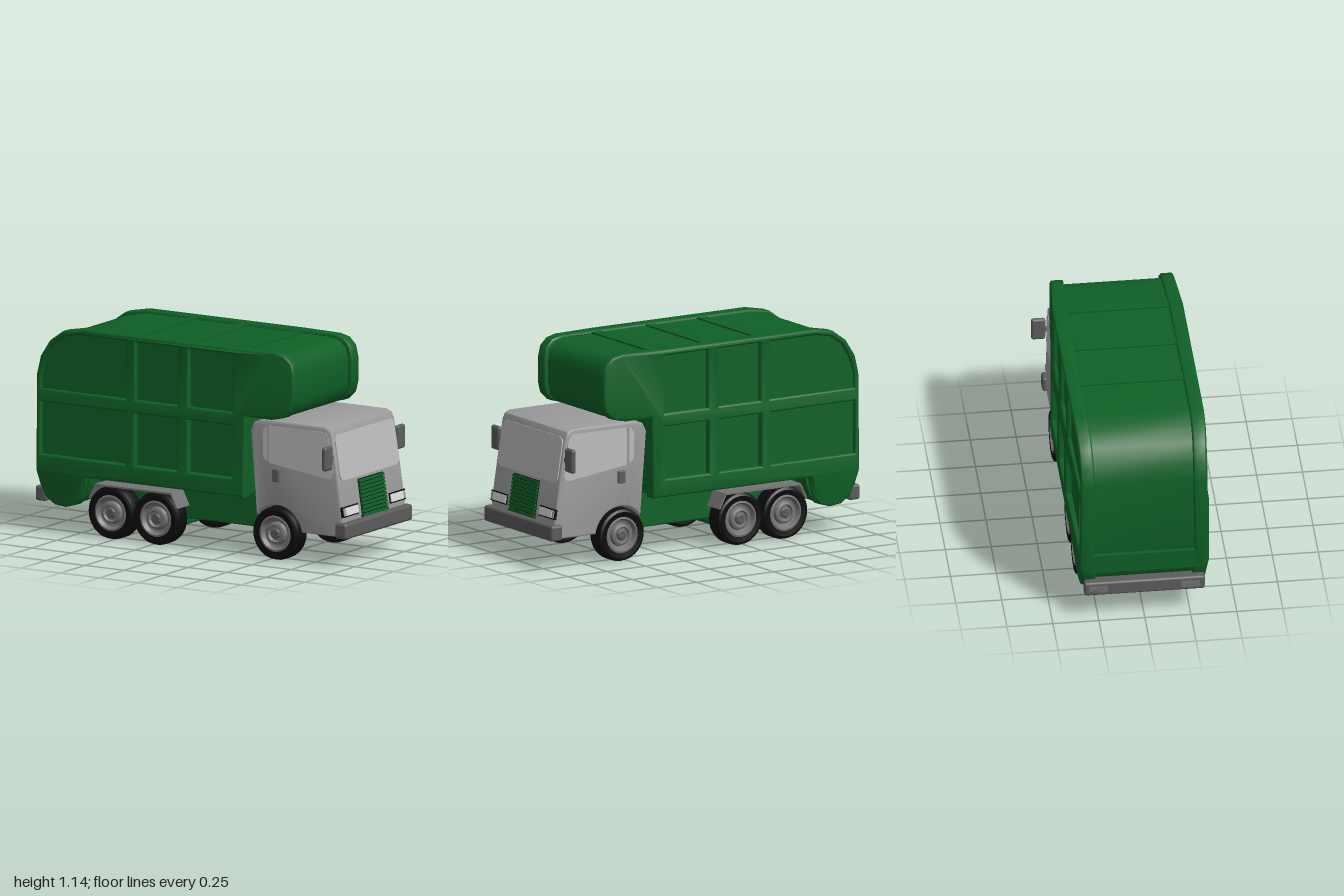
import * as THREE from 'three';
import { toCreasedNormals } from 'three/addons/utils/BufferGeometryUtils.js';
import { RoundedBoxGeometry } from 'three/addons/geometries/RoundedBoxGeometry.js';

const material = (name, color) => {
  const m = new THREE.MeshStandardMaterial({ color });
  m.name = name;
  return m;
};
const green = material('green paint', 0x0f6026);
const grey = material('cab grey', 0x9c9c9c);
const glass = material('window glass', 0xbcbcbc);
const steel = material('dark steel', 0x5c5c5c);
const rimGrey = material('rim grey', 0x747474);
const black = material('tyre black', 0x0c0c0c);
const white = material('lamp white', 0xdcdcdc);

const polygon = (pts) => new THREE.Shape(pts.map(([x, y]) => new THREE.Vector2(x, y)));

function roundedRect(x0, y0, x1, y1, r) {
  const s = new THREE.Shape();
  s.absarc(x1 - r, y0 + r, r, -Math.PI / 2, 0);
  s.absarc(x1 - r, y1 - r, r, 0, Math.PI / 2);
  s.absarc(x0 + r, y1 - r, r, Math.PI / 2, Math.PI);
  s.absarc(x0 + r, y0 + r, r, Math.PI, Math.PI * 1.5);
  return s;
}

// Extrudes a side profile between two z values, with the bevel inside those limits
function extrude(shape, z0, z1, bevel = 0) {
  const g = new THREE.ExtrudeGeometry(shape, {
    depth: z1 - z0 - 2 * bevel, curveSegments: 10, bevelEnabled: bevel > 0,
    bevelSize: bevel, bevelThickness: bevel, bevelOffset: -bevel, bevelSegments: 3,
  });
  return g.translate(0, 0, z0 + bevel);
}

export function createModel() {
  const root = new THREE.Group();
  const add = (name, geo, mat, parent = root) => {
    const m = new THREE.Mesh(geo, mat);
    m.name = name;
    parent.add(m);
    return m;
  };
  const box = (name, mat, [x0, x1], [y0, y1], [z0, z1], r = 0, parent = root) => {
    const size = [x1 - x0, y1 - y0, z1 - z0];
    const geo = r ? new RoundedBoxGeometry(...size, 3, r) : new THREE.BoxGeometry(...size);
    const m = add(name, geo, mat, parent);
    m.position.set((x0 + x1) / 2, (y0 + y1) / 2, (z0 + z1) / 2);
    return m;
  };
  // z limits for a part on either side
  const span = (s, a, b) => (s > 0 ? [a, b] : [-b, -a]);

  // Refuse body: inset core between two raised side frames
  const outline = [
    [-0.98, 0.34], [-0.965, 0.26], [-0.93, 0.195], [-0.87, 0.157], [-0.8, 0.15], [-0.73, 0.17],
    [-0.685, 0.22], [-0.665, 0.28], [-0.66, 0.33], [0.355, 0.33], [0.36, 0.775], [0.54, 0.775],
    [0.6, 0.79], [0.642, 0.83], [0.657, 0.89], [0.657, 1.03], [0.642, 1.09], [0.6, 1.13],
    [0.54, 1.143], [0.3, 1.143], [-0.69, 1.143], [-0.81, 1.12], [-0.895, 1.06], [-0.955, 0.97],
    [-0.98, 0.87],
  ];
  const core = outline.map(([x, y]) => [-0.16 + (x + 0.16) * 0.97, 0.645 + (y - 0.645) * 0.97]);
  add('bodyCore', toCreasedNormals(extrude(polygon(core), -0.33, 0.33), 0.6), green);

  const columns = [[-0.4, -0.95], [-0.34, -0.07], [0.0, 0.28]];
  const taper = (g) => {
    const p = g.attributes.position;
    for (let i = 0; i < p.count; i++) {
      const x = p.getX(i), y = p.getY(i);
      let f = 1;
      if (x > 0.3) f -= 0.07 * Math.min(1, (x - 0.3) / 0.35);
      if (x < -0.75) f -= 0.035 * Math.min(1, (-0.75 - x) / 0.23);
      if (y > 0.76) f *= 0.975;
      if (y < 0.3) f *= 0.945;
      p.setZ(i, p.getZ(i) * f);
    }
    return g;
  };
  for (const s of [1, -1]) {
    const frame = polygon(outline);
    for (const [a, b] of columns) {
      const x0 = Math.min(a, b), x1 = Math.max(a, b);
      frame.holes.push(polygon([[x0, 0.43], [x0, 0.72], [x1, 0.72], [x1, 0.43]]));
      const rear = x0 < -0.9;
      frame.holes.push(polygon(rear
        ? [[x0, 0.79], [x0, 0.87], [-0.92, 0.96], [-0.87, 1.04], [-0.8, 1.09], [-0.7, 1.11], [x1, 1.11], [x1, 0.79]]
        : [[x0, 0.79], [x0, 1.11], [x1, 1.11], [x1, 0.79]]));
    }
    const g = taper(extrude(frame, ...span(s, 0.285, 0.365), 0.012));
    add('bodySideFrame', toCreasedNormals(g, 0.7), green);
  }
  for (const x of [-0.37, -0.04, 0.31]) {
    box('roofRib', green, [x - 0.03, x + 0.03], [1.1, 1.137], [-0.29, 0.29]);
  }
  box('rearSill', green, [-0.978, -0.9], [0.3, 0.41], [-0.3, 0.3]);

  // Chassis and axle housing
  box('chassis', green, [-0.68, 0.87], [0.142, 0.345], [-0.208, 0.208], 0.01);
  box('axleHousing', green, [-0.56, -0.18], [0.075, 0.2], [-0.205, 0.205], 0.015);

  // Cab with wheel arches cut from its side profile
  const cab = new THREE.Shape();
  cab.moveTo(0.372, 0.235);
  cab.absarc(0.54, 0.14, 0.16, 2.507, 0.157, true);
  for (const [x, y] of [[0.962, 0.165], [0.965, 0.27], [0.895, 0.72], [0.88, 0.75], [0.85, 0.764],
    [0.44, 0.764], [0.395, 0.745], [0.372, 0.7]]) cab.lineTo(x, y);
  add('cab', toCreasedNormals(extrude(cab, -0.316, 0.316, 0.012), 0.6), grey);

  // Side windows, handles and mirrors
  const sideWindow = [[0.455, 0.56], [0.49, 0.53], [0.885, 0.48], [0.903, 0.495], [0.905, 0.53],
    [0.878, 0.705], [0.855, 0.735], [0.48, 0.735], [0.455, 0.705]];
  for (const s of [1, -1]) {
    add('sideWindow', extrude(polygon(sideWindow), ...span(s, 0.314, 0.319)), glass);
    box('windowDivider', grey, [0.487, 0.497], [0.53, 0.735], span(s, 0.314, 0.321));
    box('doorHandle', steel, [0.515, 0.56], [0.43, 0.5], span(s, 0.312, 0.327), 0.005);
    box('mirrorArm', steel, [0.885, 0.905], [0.588, 0.612], span(s, 0.29, 0.35));
    box('mirror', steel, [0.882, 0.912], [0.538, 0.67], span(s, 0.325, 0.403), 0.014);
  }

  // Sloping cab face: local x points out of the face
  const face = new THREE.Group();
  face.name = 'cabFace';
  face.position.set(0.965, 0.27, 0);
  face.rotation.z = Math.atan2(0.07, 0.45);
  root.add(face);
  add('windshield', extrude(roundedRect(-0.295, 0.203, 0.295, 0.455, 0.035), -0.002, 0.006), glass, face)
    .rotation.y = Math.PI / 2;
  box('grilleBack', black, [-0.005, 0.003], [-0.02, 0.188], [-0.125, 0.125], 0, face);
  for (let i = 0; i < 10; i++) {
    const y = -0.018 + i * 0.0207;
    box('grilleSlat', green, [0, 0.013], [y, y + 0.0155], [-0.124, 0.124], 0, face);
  }
  for (const s of [1, -1]) {
    box('headlightFrame', black, [-0.01, 0.005], [0.005, 0.062], span(s, 0.158, 0.315), 0, face);
    box('headlight', white, [0, 0.01], [0.012, 0.055], span(s, 0.164, 0.289), 0, face);
    box('indicator', grey, [0, 0.009], [0.012, 0.055], span(s, 0.293, 0.309), 0, face);
  }

  // Bumpers
  box('frontBumper', steel, [0.925, 1.0], [0.16, 0.248], [-0.338, 0.338], 0.016);
  box('rearBumper', steel, [-1.0, -0.93], [0.165, 0.248], [-0.328, 0.328], 0.014);
  for (const s of [1, -1]) {
    box('tailLight', rimGrey, [-1.0, -0.994], [0.185, 0.228], span(s, 0.2, 0.3));
  }

  // Wheels
  const lathe = (pts) => toCreasedNormals(
    new THREE.LatheGeometry(pts.map(([r, h]) => new THREE.Vector2(r, h)), 36), 0.5);
  const tyre = lathe([[0, -0.048], [0.095, -0.05], [0.128, -0.054], [0.141, -0.047], [0.146, -0.03],
    [0.146, 0.03], [0.141, 0.047], [0.128, 0.054], [0.1, 0.05], [0.096, 0.03]]);
  const rim = lathe([[0.1, 0.03], [0.1, 0.05], [0.09, 0.053], [0.078, 0.03], [0.064, 0.026],
    [0.058, 0.045], [0.046, 0.05], [0.04, 0.036], [0, 0.036]]);
  const hub = lathe([[0.028, 0.03], [0.028, 0.046], [0.022, 0.052], [0, 0.052]]);
  for (const x of [-0.515, -0.225, 0.54]) {
    for (const s of [1, -1]) {
      const wheel = new THREE.Group();
      wheel.name = 'wheel';
      wheel.position.set(x, 0.146, s * 0.28);
      wheel.rotation.x = s * Math.PI / 2;
      add('tyre', tyre, black, wheel);
      add('rim', rim, rimGrey, wheel);
      add('hub', hub, steel, wheel);
      root.add(wheel);
    }
    add('axle', new THREE.CylinderGeometry(0.028, 0.028, 0.5, 16).rotateX(Math.PI / 2), steel)
      .position.set(x, 0.146, 0);
  }

  // Rear mudguards
  const guard = [[-0.655, 0.215], [-0.615, 0.287], [-0.125, 0.287], [-0.085, 0.215], [-0.095, 0.213],
    [-0.132, 0.296], [-0.608, 0.296], [-0.645, 0.213]];
  guard.splice(0, 8, [-0.655, 0.215], [-0.645, 0.213], [-0.607, 0.288], [-0.133, 0.288],
    [-0.095, 0.213], [-0.085, 0.215], [-0.126, 0.298], [-0.614, 0.298]);
  for (const s of [1, -1]) add('mudguard', extrude(polygon(guard), ...span(s, 0.2, 0.33)), rimGrey);

  return root;
}
